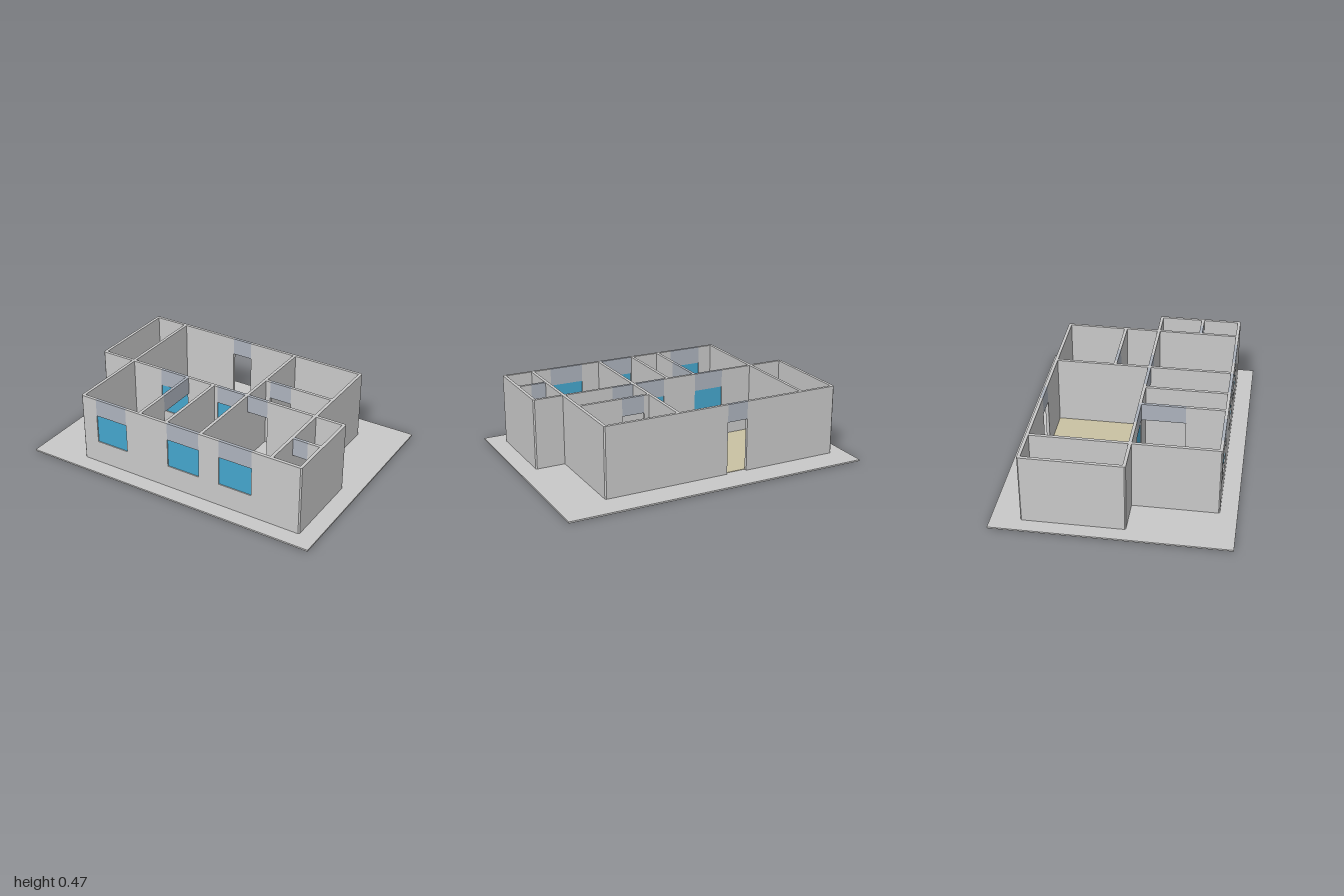
import * as THREE from 'three';

const T = 0.02;        // wall thickness
const BEVEL = 0.008;   // cut on the wall ends
const BASE = 0.01, HEAD = 0.35, SILL = 0.16, TOP = 0.465;

const paint = (name, color) => Object.assign(new THREE.MeshStandardMaterial({ color }), { name });

export function createModel() {
  const model = new THREE.Group();
  model.name = 'house';
  const grey = paint('wall grey', 0xc9c9c9);
  const lintelGrey = paint('lintel blue grey', 0xadb3bd);
  const blue = paint('window blue', 0x45a6cd);
  const sand = paint('floor sand', 0xcac2a3);

  function box(name, material, x0, x1, y0, y1, z0, z1, parent = model) {
    const mesh = new THREE.Mesh(new THREE.BoxGeometry(x1 - x0, y1 - y0, z1 - z0), material);
    mesh.position.set((x0 + x1) / 2, (y0 + y1) / 2, (z0 + z1) / 2);
    mesh.name = name;
    parent.add(mesh);
  }

  // Upright wall piece along x from a to b, with cut corners on chosen ends
  function piece(parent, name, material, a, b, y0, y1, cutA = false, cutB = false) {
    const h = T / 2, p = cutA ? BEVEL : 0, q = cutB ? BEVEL : 0;
    const pts = [[a + p, -h], [b - q, -h]];
    if (q) pts.push([b, -h + q], [b, h - q]);
    pts.push([b - q, h], [a + p, h]);
    if (p) pts.push([a, h - p], [a, -h + p]);
    const shape = new THREE.Shape(pts.map(([x, y]) => new THREE.Vector2(x, y)));
    const geo = new THREE.ExtrudeGeometry(shape, { depth: y1 - y0, bevelEnabled: false });
    geo.rotateX(-Math.PI / 2).translate(0, y0, 0);
    const mesh = new THREE.Mesh(geo, material);
    mesh.name = name;
    parent.add(mesh);
  }

  // Wall along 'x' or 'z' at the given offset; openings are [from, to, isWindow]
  function wall(name, axis, at, from, to, { openings = [], cut = false } = {}) {
    const group = new THREE.Group();
    group.name = name;
    // Walls along z are made along x, then turned so that +x becomes +z
    if (axis === 'z') {
      group.rotation.y = -Math.PI / 2;
      group.position.x = at;
    } else {
      group.position.z = at;
    }
    let start = from;
    for (const [a, b, isWindow] of openings) {
      if (a > start) piece(group, 'wallPanel', grey, start, a, BASE, TOP, cut && start === from);
      piece(group, 'lintel', lintelGrey, a, b, HEAD, TOP);
      if (isWindow) {
        piece(group, 'sill', grey, a, b, BASE, SILL);
        box('windowPane', blue, a, b, SILL, HEAD, -0.003, 0.003, group);
      }
      start = b;
    }
    if (to > start) piece(group, 'wallPanel', grey, start, to, BASE, TOP, cut && start === from, cut);
    model.add(group);
  }

  // Ground slab and the floor of the main room
  box('groundSlab', grey, -1, 1, 0, BASE, -0.73, 0.73);
  box('mainRoomFloor', sand, -0.653, 0.193, BASE, BASE + 0.003, -0.53, 0.067);

  // Outer walls
  const h = T / 2;
  const back = -0.539, mid = 0.077, front = 0.613;
  const wing = -0.896, left = -0.663, right = 0.683, bay = 0.877;
  wall('backWall', 'x', back, wing - h, right + h, { cut: true, openings: [[-0.267, -0.13, false]] });
  wall('frontWall', 'x', front, left - h, bay + h, {
    cut: true,
    openings: [[-0.56, -0.335, true], [-0.03, 0.195, true], [0.335, 0.56, true]],
  });
  wall('middleWall', 'x', mid, wing - h, bay + h, {
    cut: true,
    openings: [[-0.44, -0.237, true], [-0.01, 0.193, true], [0.213, 0.355, false]],
  });
  wall('wingWall', 'z', wing, back - h, mid + h, { cut: true });
  wall('bayWall', 'z', bay, mid - h, front + h, { cut: true });
  wall('leftFrontWall', 'z', left, mid - h, front + h, { cut: true });
  wall('rightWall', 'z', right, back - h, mid, { cut: true });

  // Inner walls, ending on the faces of the walls they meet
  wall('wingPartition', 'z', left, back + h, mid - h);
  wall('bayPartition', 'z', right, mid + h, front - h);
  wall('hallPartitionBack', 'z', 0.203, back + h, mid - h);
  wall('hallPartitionFront', 'z', 0.203, mid + h, front - h);
  wall('bedroomPartition', 'z', -0.237, mid + h, front - h, { openings: [[mid + h, 0.363, false]] });
  wall('closetPartition', 'z', -0.043, mid + h, front - h);
  wall('backRoomPartition', 'x', -0.15, 0.213, right - h, { openings: [[0.245, 0.395, false]] });
  wall('bayRoomPartition', 'x', 0.363, right + h, bay - h, { openings: [[right + h, 0.79, false]] });

  return model;
}
